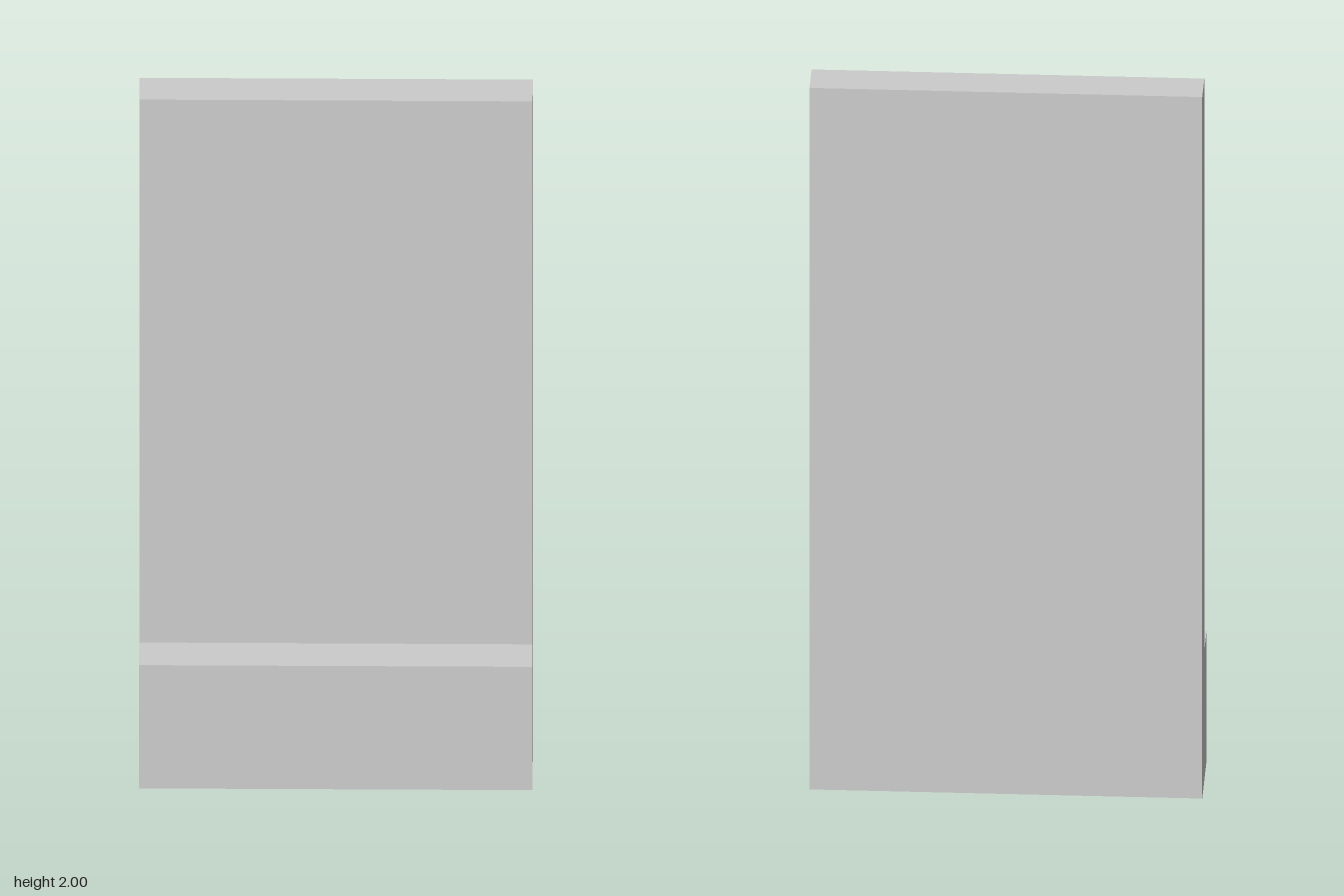
import * as THREE from 'three';

const WIDTH = 1, HEIGHT = 2, STEP_HEIGHT = 0.37;
const BACK = -0.106, FACE = -0.002, FRONT = 0.106;

export function createModel() {
  const group = new THREE.Group();
  group.name = 'steppedPanel';

  // Side profile (z, y): thin upright panel with a thicker plinth at the foot
  const profile = new THREE.Shape([
    [BACK, 0], [FRONT, 0], [FRONT, STEP_HEIGHT],
    [FACE, STEP_HEIGHT], [FACE, HEIGHT], [BACK, HEIGHT],
  ].map(([z, y]) => new THREE.Vector2(z, y)));

  // Extrude across the width, then turn the profile to face +z
  const geometry = new THREE.ExtrudeGeometry(profile, { depth: WIDTH, bevelEnabled: false });
  geometry.translate(0, 0, -WIDTH / 2).rotateY(-Math.PI / 2);

  const panel = new THREE.Mesh(geometry, new THREE.MeshStandardMaterial({ color: 0xcccccc }));
  panel.name = 'panelWithPlinth';
  group.add(panel);
  return group;
}
